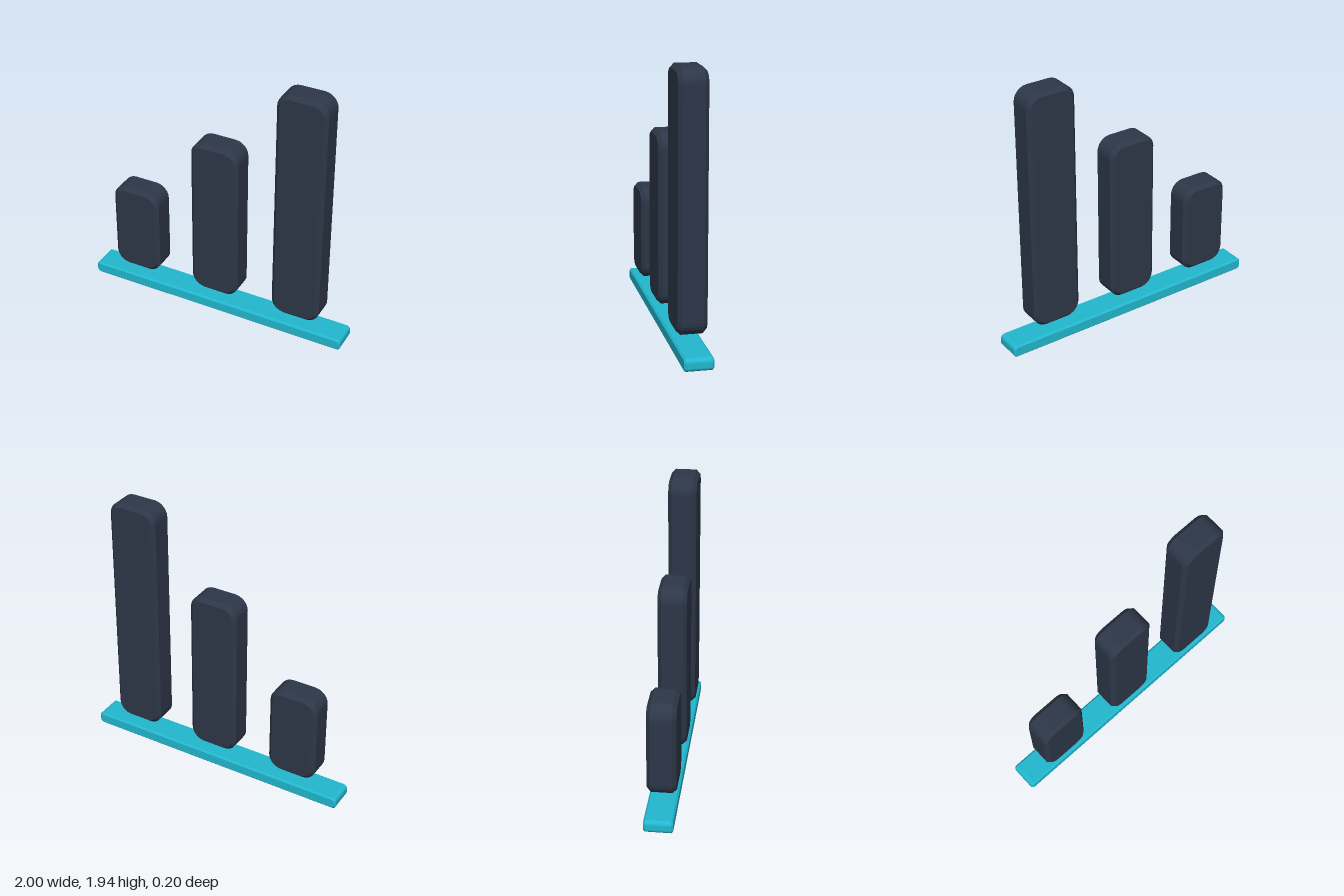
import * as THREE from 'three';

// Upright rounded slab with chamfered front and back edges
function slab(name, x, y0, y1, width, depth, radius, bevel, material) {
  const w = width / 2 - bevel, h = (y1 - y0) / 2 - bevel, r = radius - bevel;
  const shape = new THREE.Shape();
  shape.absarc(w - r, h - r, r, 0, Math.PI / 2);
  shape.absarc(r - w, h - r, r, Math.PI / 2, Math.PI);
  shape.absarc(r - w, r - h, r, Math.PI, Math.PI * 1.5);
  shape.absarc(w - r, r - h, r, Math.PI * 1.5, Math.PI * 2);
  shape.closePath();
  const geometry = new THREE.ExtrudeGeometry(shape, {
    depth: depth - 2 * bevel,
    bevelEnabled: true,
    bevelSize: bevel,
    bevelThickness: bevel,
    bevelSegments: 1,
    curveSegments: 3,
  });
  geometry.translate(0, 0, bevel - depth / 2);
  const mesh = new THREE.Mesh(geometry, material);
  mesh.name = name;
  mesh.position.set(x, (y0 + y1) / 2, 0);
  return mesh;
}

export function createModel() {
  const group = new THREE.Group();
  group.name = 'barChart';
  const dark = new THREE.MeshStandardMaterial({ color: 0x2d3748, flatShading: true });
  const cyan = new THREE.MeshStandardMaterial({ color: 0x22b8cf, flatShading: true });

  // Baseline strip
  group.add(slab('baseline', 0, 0, 0.091, 2, 0.2, 0.03, 0.012, cyan));

  // Three rising bars floating above it
  [['shortBar', 0.845], ['middleBar', 1.39], ['tallBar', 1.936]].forEach(([name, top], i) => {
    group.add(slab(name, (i - 1) * 0.637, 0.164, top, 0.364, 0.2, 0.1, 0.027, dark));
  });
  return group;
}
